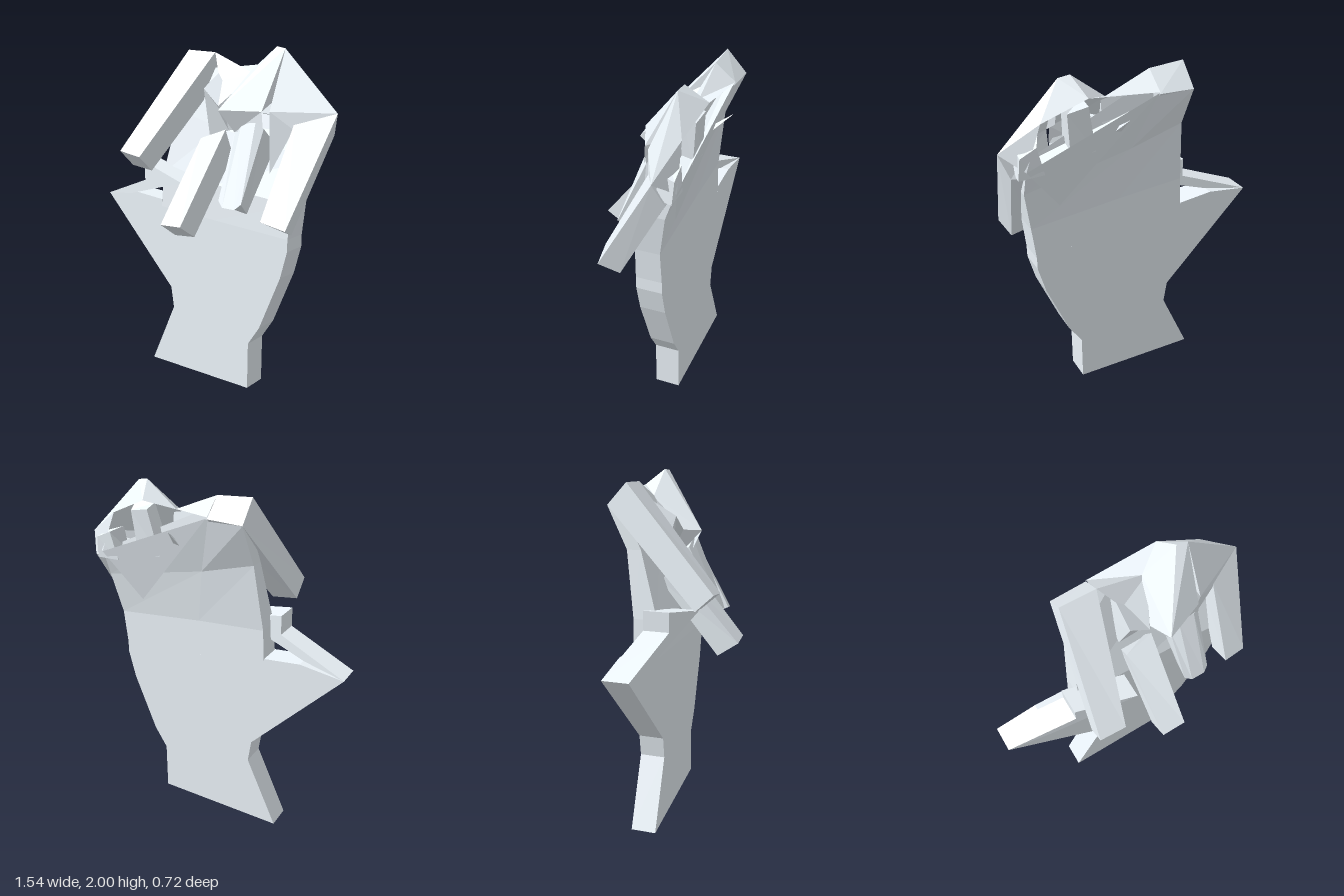
import * as THREE from 'three';

const material = new THREE.MeshStandardMaterial({
  color: 0xedf5fb, flatShading: true, side: THREE.DoubleSide,
});

// Mesh from a flat list of corner triples
function facets(name, corners) {
  const g = new THREE.BufferGeometry();
  g.setAttribute('position', new THREE.Float32BufferAttribute(corners.flat(), 3));
  g.computeVertexNormals();
  const mesh = new THREE.Mesh(g, material);
  mesh.name = name;
  return mesh;
}

// Skin a run of equal-sized rings and cap both ends
function loft(name, rings) {
  const out = [], n = rings[0].length;
  for (let r = 0; r < rings.length - 1; r++) {
    const a = rings[r], b = rings[r + 1];
    for (let i = 0; i < n; i++) {
      const j = (i + 1) % n;
      out.push(a[i], a[j], b[j], a[i], b[j], b[i]);
    }
  }
  const first = rings[0], last = rings[rings.length - 1];
  for (let i = 1; i < n - 1; i++) {
    out.push(first[0], first[i + 1], first[i], last[0], last[i], last[i + 1]);
  }
  return facets(name, out);
}

// Extrude an outline in z, then shear it forward along x
function slab(name, outline, back, front, shear = 0) {
  const shape = new THREE.Shape(outline.map(([x, y]) => new THREE.Vector2(x, y)));
  const g = new THREE.ExtrudeGeometry(shape, { depth: front - back, bevelEnabled: false });
  const p = g.attributes.position;
  for (let i = 0; i < p.count; i++) {
    p.setZ(i, p.getZ(i) + back + shear * (p.getX(i) - outline[0][0]));
  }
  g.computeVertexNormals();
  const mesh = new THREE.Mesh(g, material);
  mesh.name = name;
  return mesh;
}

export function createModel() {
  const hand = new THREE.Group();
  hand.name = 'hand';

  // Wrist, lower palm and the web at the root of the thumb
  hand.add(slab('lowerPalm', [
    [-0.77, 1.06], [-0.24, 0.53], [-0.22, 0.40], [-0.40, 0], [0.355, 0.035],
    [0.355, 0.32], [0.43, 0.44], [0.56, 0.77], [0.60, 0.93], [0.60, 1.0],
    [-0.31, 1.04], [-0.31, 1.085], [-0.52, 1.10],
  ], -0.155, -0.01));

  // Thumb, slanting forward across the palm
  hand.add(slab('thumb', [
    [-0.77, 1.06], [-0.52, 1.10], [-0.02, 1.25], [-0.37, 1.32], [-0.37, 1.21],
  ], -0.155, -0.01, 0.2));

  // Upper palm, leaning back towards the knuckles: left, middle, right per row
  const palmRow = (left, mid, right, front, back) => [
    ...[left, mid, right].map(([x, y]) => [x, y, front]),
    ...[right, mid, left].map(([x, y]) => [x, y, back]),
  ];
  hand.add(loft('upperPalm', [
    palmRow([-0.31, 1.04], [0.10, 1.022], [0.60, 1.0], -0.01, -0.155),
    palmRow([-0.30, 1.25], [0.10, 1.23], [0.62, 1.19], -0.02, -0.155),
    palmRow([-0.26, 1.62], [0.05, 1.54], [0.66, 1.43], -0.12, -0.20),
    [[-0.25, 1.85, -0.23], [0.02, 1.88, -0.21], [0.68, 1.58, -0.18],
      [0.66, 1.57, -0.25], [-0.05, 1.86, -0.30], [-0.25, 1.85, -0.31]],
  ]));

  // Fingers, each from knuckle to tip
  hand.add(loft('indexFinger', [
    [[-0.25, 1.97, -0.20], [-0.05, 1.96, -0.20], [-0.05, 1.86, -0.31], [-0.25, 1.85, -0.31]],
    [[-0.34, 1.42, 0.30], [-0.19, 1.40, 0.30], [-0.19, 1.31, 0.20], [-0.34, 1.325, 0.20]],
  ]));
  hand.add(loft('middleFingerBase', [
    [[0.02, 1.88, -0.20], [0.22, 1.84, -0.19], [0.22, 1.60, -0.22], [0.0, 1.60, -0.20]],
    [[0.02, 1.77, -0.01], [0.13, 1.68, 0.0], [0.19, 1.55, -0.08], [0.0, 1.50, -0.09]],
  ]));
  hand.add(loft('middleFingerTip', [
    [[0.0, 1.49, -0.01], [0.16, 1.55, -0.03], [0.16, 1.40, -0.10], [0.01, 1.40, -0.10]],
    [[0.02, 1.06, 0.36], [0.16, 1.07, 0.36], [0.16, 0.99, 0.24], [0.02, 0.975, 0.24]],
  ]));
  hand.add(loft('ringFinger', [
    [[0.25, 1.56, 0.0], [0.30, 1.60, 0.01], [0.39, 1.61, 0.01],
      [0.43, 1.58, -0.01], [0.43, 1.48, -0.13], [0.26, 1.48, -0.13]],
    [[0.27, 1.20, 0.17], [0.31, 1.17, 0.19], [0.39, 1.17, 0.19],
      [0.42, 1.20, 0.17], [0.38, 1.12, 0.06], [0.30, 1.13, 0.06]],
  ]));
  hand.add(loft('littleFinger', [
    [[0.57, 1.62, -0.09], [0.77, 1.67, -0.18], [0.73, 1.55, -0.23], [0.57, 1.50, -0.20]],
    [[0.55, 1.13, 0.18], [0.69, 1.10, 0.16], [0.66, 1.05, 0.05], [0.55, 1.07, 0.05]],
  ]));

  // Faceted knuckles over the bent fingers, with a cleft beside the ring finger
  const tip = [0.20, 1.67, 0.09], peak = [0.44, 1.99, -0.18], outer = [0.77, 1.67, -0.18];
  const inner = [-0.05, 1.96, -0.20], innerBack = [-0.05, 1.87, -0.31];
  const dip = [0.20, 1.86, -0.20], crest = [0.38, 2.0, -0.19];
  const crestBack = [0.34, 1.91, -0.30], side = [0.12, 1.68, -0.06];
  const outerBack = [0.66, 1.58, -0.26], ridge = [0.57, 1.81, -0.25];
  const cleft = [0.43, 1.72, -0.10], ringEdge = [0.42, 1.67, 0.0];
  const littleEdge = [0.45, 1.67, -0.03], web = [0.44, 1.33, -0.06];
  hand.add(facets('knuckles', [
    tip, ringEdge, peak, ringEdge, cleft, peak, cleft, littleEdge, peak,
    littleEdge, outer, peak,
    tip, peak, crest, tip, crest, dip, tip, dip, side,
    side, dip, inner,
    inner, dip, innerBack, dip, crestBack, innerBack, dip, crest, crestBack,
    crest, peak, crestBack, peak, ridge, crestBack, peak, outer, ridge,
    outer, outerBack, ridge,
  ]));

  // Undersides and webs beneath the knuckles
  hand.add(facets('fingerWebs', [
    tip, [0.26, 1.55, 0.02], ringEdge,
    [0.26, 1.55, 0.02], [0.43, 1.58, 0.0], ringEdge,
    littleEdge, web, [0.57, 1.58, -0.08],
    littleEdge, [0.57, 1.58, -0.08], outer,
    side, [0.19, 1.55, -0.02], tip,
  ]));

  // Flap and spur on the back of the hand
  const flapInner = [-0.04, 1.86, -0.305];
  hand.add(facets('backFlap', [
    outerBack, [0.46, 1.30, -0.175], flapInner,
  ]));
  hand.add(loft('backSpur', [
    [[0.14, 1.62, -0.20], [0.20, 1.63, -0.20], [0.17, 1.70, -0.24]],
    [[0.15, 1.78, -0.36], [0.152, 1.78, -0.36], [0.15, 1.782, -0.36]],
  ]));

  // Buried joints behind the ring and little fingers
  hand.add(loft('ringJoint', [
    [[0.33, 1.88, -0.20], [0.44, 1.90, -0.20], [0.44, 1.84, -0.27], [0.33, 1.86, -0.28]],
    [[0.28, 1.64, -0.16], [0.42, 1.64, -0.16], [0.42, 1.60, -0.25], [0.28, 1.60, -0.25]],
  ]));
  hand.add(loft('littleJoint', [
    [[0.56, 1.72, -0.18], [0.68, 1.68, -0.18], [0.69, 1.66, -0.26], [0.60, 1.70, -0.26]],
    [[0.56, 1.56, -0.14], [0.70, 1.56, -0.17], [0.70, 1.54, -0.25], [0.56, 1.54, -0.25]],
  ]));

  return hand;
}
